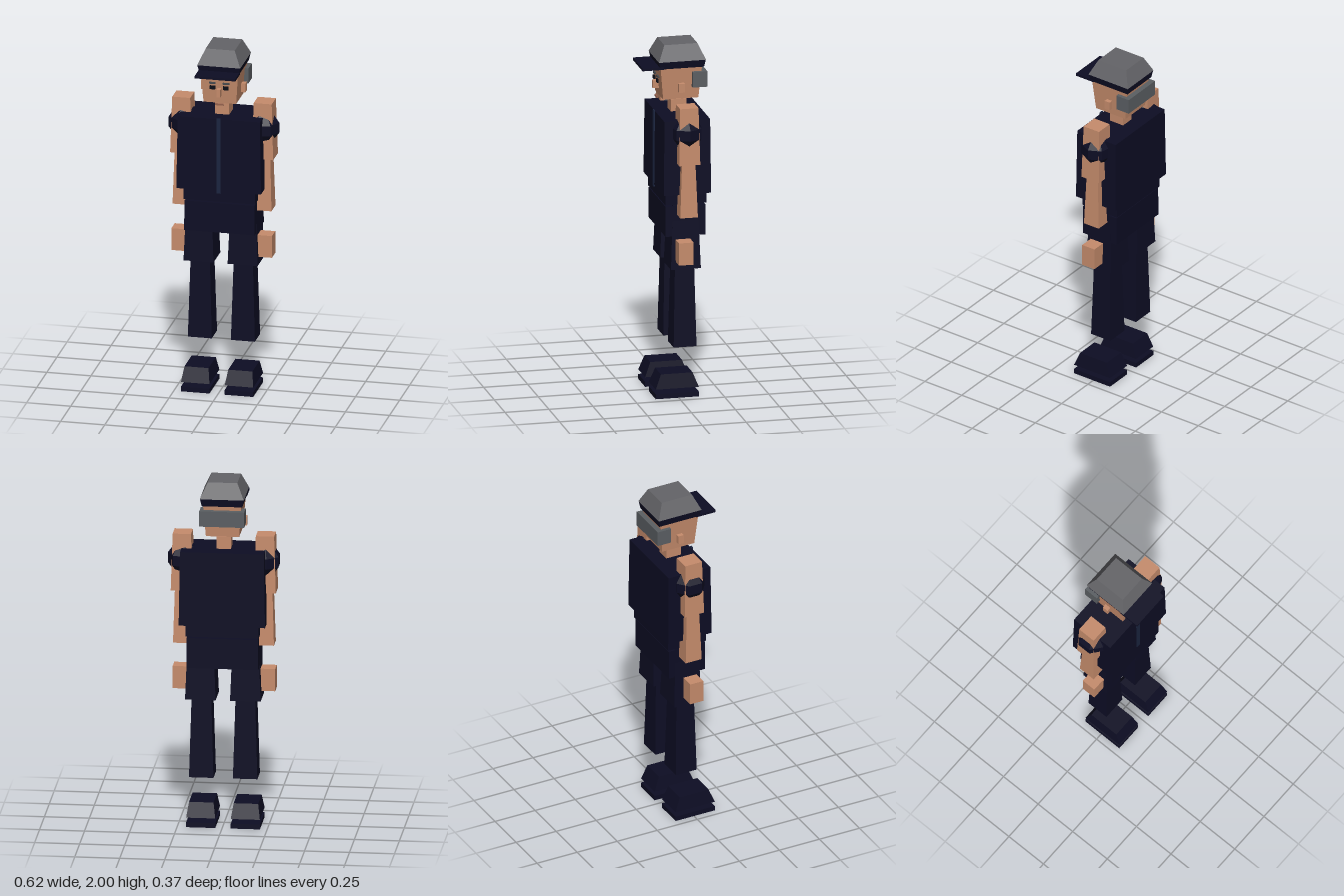
import * as THREE from 'three';

const flat = (name, color) => {
  const m = new THREE.MeshStandardMaterial({ color });
  m.name = name;
  return m;
};

export function createModel() {
  const root = new THREE.Group();
  root.name = 'figure';
  const navy = flat('navy cloth', 0x0d0d24);
  const zipBlue = flat('zip blue', 0x1b2540);
  const skin = flat('skin', 0xc68c6c);
  const capGrey = flat('cap grey', 0x646468);
  const hairGrey = flat('hair grey', 0x5b5f63);
  const eyeDark = flat('eye dark', 0x0a0c16);
  const browGrey = flat('brow grey', 0x45484c);
  const lip = flat('lip brown', 0x96624e);
  const CX = -0.005; // body midline

  // Tapered block: width and depth at the bottom (wb, db) and at the top (wt, dt).
  // x is measured from the midline, z is the block's centre.
  function block(name, mat, x, z, y0, y1, wb, db, wt = wb, dt = db) {
    const geo = new THREE.BoxGeometry(1, 1, 1);
    const p = geo.attributes.position;
    for (let i = 0; i < p.count; i++) {
      const top = p.getY(i) > 0;
      p.setXYZ(i, p.getX(i) * (top ? wt : wb), top ? y1 : y0, p.getZ(i) * (top ? dt : db));
    }
    geo.computeVertexNormals();
    const mesh = new THREE.Mesh(geo, mat);
    mesh.name = name;
    mesh.position.set(CX + x, 0, z);
    root.add(mesh);
    return mesh;
  }

  // Cap
  block('capCrown', capGrey, 0, -0.042, 1.912, 2.0, 0.245, 0.268, 0.164, 0.188);
  block('capBand', navy, 0, -0.042, 1.87, 1.912, 0.225, 0.25, 0.243, 0.264);
  block('capBrim', navy, 0, 0.123, 1.868, 1.882, 0.23, 0.12);

  // Head and face
  block('head', skin, 0, -0.039, 1.69, 1.872, 0.185, 0.2, 0.213, 0.235);
  block('backHair', hairGrey, 0, -0.142, 1.757, 1.845, 0.25, 0.084);
  block('nose', skin, 0, 0.083, 1.735, 1.78, 0.022, 0.034);
  block('mouth', lip, 0, 0.078, 1.682, 1.691, 0.048, 0.009);
  block('neck', skin, 0, -0.04, 1.57, 1.672, 0.08, 0.09);

  // Torso, zip, waist and hips
  block('jacket', navy, 0, -0.042, 1.18, 1.603, 0.48, 0.268, 0.466, 0.26);
  block('zip', zipBlue, 0, 0.092, 1.168, 1.607, 0.022, 0.009);
  block('waist', navy, 0, -0.042, 1.113, 1.19, 0.405, 0.235);
  block('hips', navy, 0, -0.04, 0.93, 1.103, 0.4, 0.226, 0.396, 0.226);

  // Paired parts
  for (const [side, s] of [['left', 1], ['right', -1]]) {
    block(side + 'Ear', skin, s * 0.114, -0.038, 1.732, 1.783, 0.024, 0.034);
    block(side + 'Eye', eyeDark, s * 0.037, 0.081, 1.775, 1.795, 0.03, 0.009);
    block(side + 'Brow', browGrey, s * 0.039, 0.079, 1.806, 1.815, 0.036, 0.009);

    block(side + 'UpperArm', skin, s * 0.231, -0.042, 1.36, 1.685, 0.122, 0.12, 0.102, 0.104);
    block(side + 'Forearm', skin, s * 0.238, -0.041, 1.055, 1.356, 0.085, 0.1, 0.067, 0.077);
    block(side + 'Hand', skin, s * 0.241, -0.024, 0.785, 0.913, 0.088, 0.083);

    // Faceted sleeve cap, turned the same way on both shoulders
    const sleeveGeo = new THREE.SphereGeometry(0.095, 7, 5).rotateY(Math.PI).toNonIndexed();
    sleeveGeo.computeVertexNormals();
    const sleeve = new THREE.Mesh(sleeveGeo, navy);
    sleeve.name = side + 'Sleeve';
    sleeve.position.set(CX + s * 0.223, 1.533, -0.041);
    root.add(sleeve);

    block(side + 'Thigh', navy, s * 0.125, -0.04, 0.74, 1.118, 0.17, 0.17, 0.14, 0.14);
    block(side + 'Shin', navy, s * 0.122, -0.04, 0.286, 0.733, 0.136, 0.13, 0.11, 0.11);
    block(side + 'Shoe', navy, s * 0.124, 0.008, 0.055, 0.137, 0.162, 0.245, 0.136, 0.18);
    block(side + 'Sole', navy, s * 0.124, 0.008, 0, 0.028, 0.162, 0.245);
  }
  return root;
}
